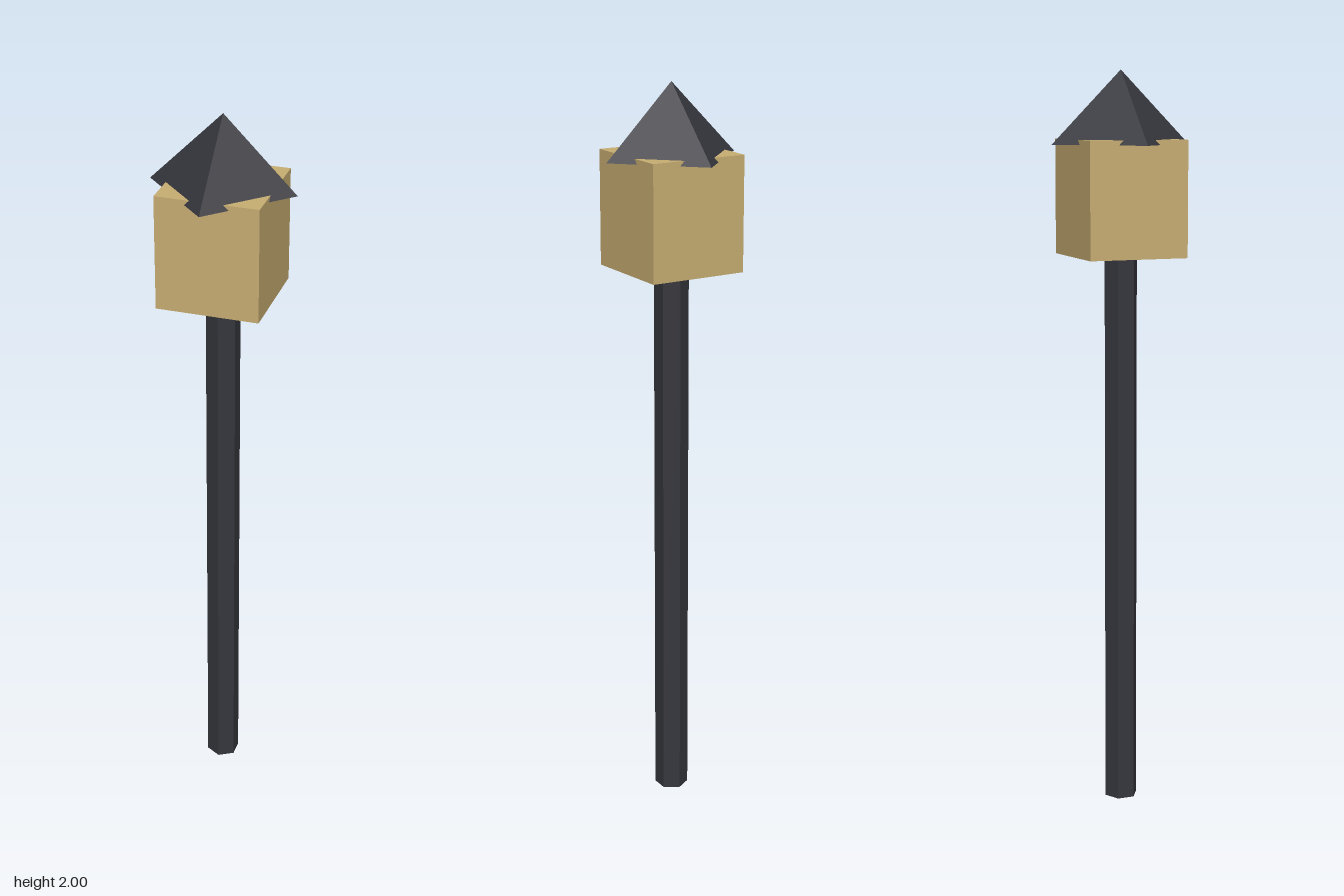
import * as THREE from 'three';

export function createModel() {
  const model = new THREE.Group();
  model.name = 'lampPost';

  const iron = new THREE.MeshStandardMaterial({ color: 0x36373d });
  iron.name = 'darkIron';
  iron.flatShading = true;
  const glow = new THREE.MeshStandardMaterial({ color: 0xc8ae73 });
  glow.name = 'warmGlass';
  glow.flatShading = true;

  // Adds a part standing on the given height
  function add(name, geometry, material, bottom, height) {
    const mesh = new THREE.Mesh(geometry, material);
    mesh.name = name;
    mesh.position.y = bottom + height / 2;
    model.add(mesh);
  }

  // Six-sided post, ending inside the lantern
  add('post', new THREE.CylinderGeometry(0.046, 0.046, 1.54, 6), iron, 0, 1.54);
  // Lantern box
  add('lantern', new THREE.BoxGeometry(0.272, 0.307, 0.272), glow, 1.513, 0.307);
  // Four-sided roof, corners over the middle of each lantern side
  add('roof', new THREE.ConeGeometry(0.193, 0.193, 4), iron, 1.807, 0.193);

  return model;
}
